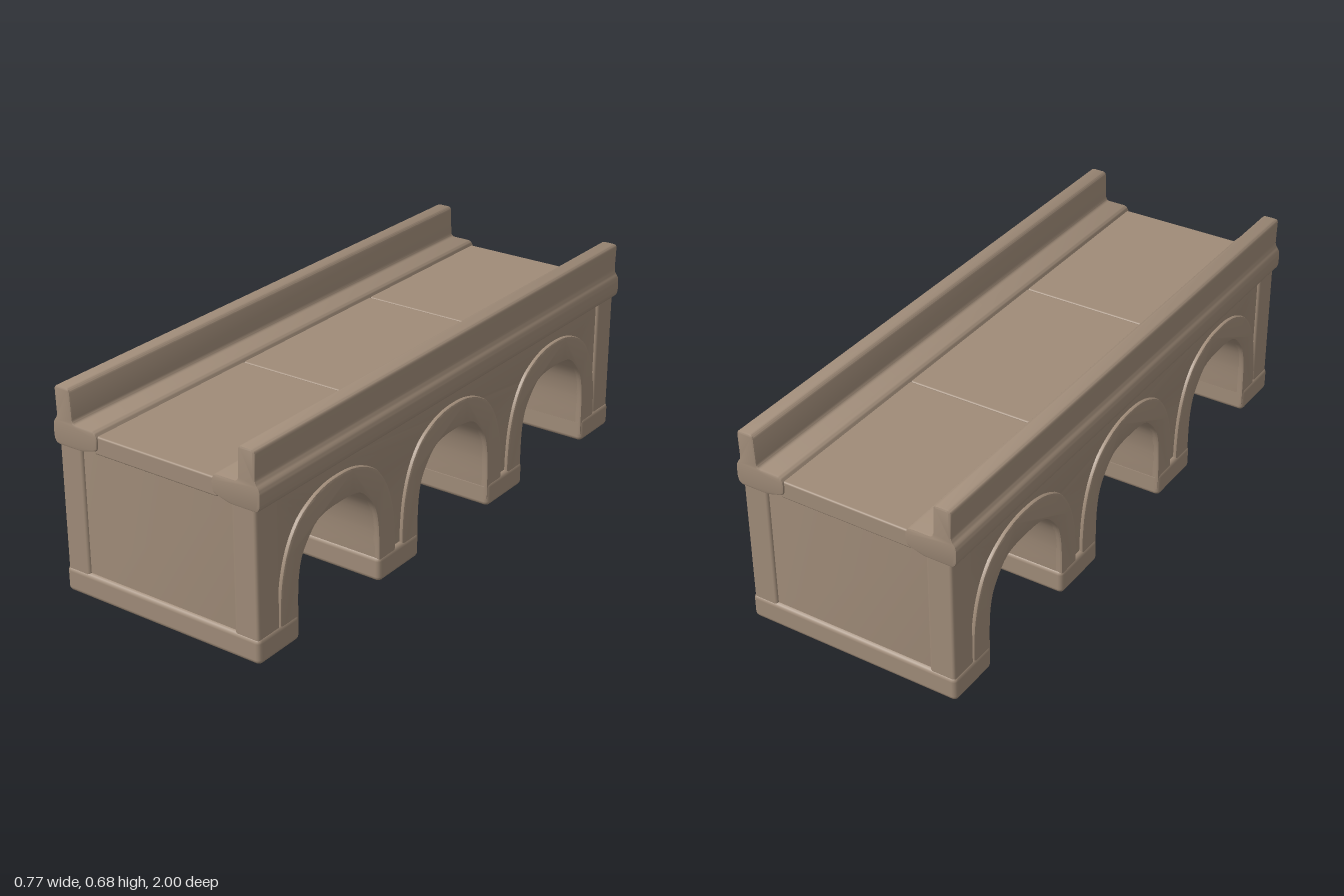
import * as THREE from 'three';
import { toCreasedNormals } from 'three/addons/utils/BufferGeometryUtils.js';
import { RoundedBoxGeometry } from 'three/addons/geometries/RoundedBoxGeometry.js';

const ARCH_Z = [0.61, 0, -0.61];
// half outlines of the arch opening and of its raised surround: [offset, height]
const OPENING = [[0.2, 0.03], [0.2, 0.12], [0.196, 0.2], [0.18, 0.265], [0.145, 0.315], [0.105, 0.35], [0.055, 0.362], [0, 0.364]];
const SURROUND = [[0.287, 0.03], [0.286, 0.13], [0.275, 0.23], [0.245, 0.32], [0.195, 0.39], [0.13, 0.43], [0.065, 0.45], [0, 0.455]];

// full arch line from -offset to +offset
function archLine(half, cx) {
  const left = half.map(([x, y]) => new THREE.Vector2(cx - x, y));
  const right = half.slice(0, -1).reverse().map(([x, y]) => new THREE.Vector2(cx + x, y));
  return new THREE.SplineCurve([...left, ...right]).getPoints(42);
}

// closed outline with softened corners
function softShape(points, r) {
  const v = points.map(([x, y]) => new THREE.Vector2(x, y));
  const shape = new THREE.Shape();
  v.forEach((p, i) => {
    const a = v[(i + v.length - 1) % v.length], b = v[(i + 1) % v.length];
    const cut = (q) => p.clone().lerp(q, Math.min(0.45, r / p.distanceTo(q)));
    const s = cut(a), e = cut(b);
    if (i === 0) shape.moveTo(s.x, s.y); else shape.lineTo(s.x, s.y);
    shape.quadraticCurveTo(p.x, p.y, e.x, e.y);
  });
  shape.closePath();
  return shape;
}

// centred extrusion with a small bevel inside the given depth
function extrude(shape, depth, bevel) {
  const g = new THREE.ExtrudeGeometry(shape, {
    depth: depth - 2 * bevel, curveSegments: 4, bevelEnabled: true,
    bevelThickness: bevel, bevelSize: bevel, bevelOffset: -bevel, bevelSegments: 2,
  });
  g.translate(0, 0, -(depth - 2 * bevel) / 2);
  return toCreasedNormals(g, 0.75);
}

export function createModel() {
  const model = new THREE.Group();
  const stone = new THREE.MeshStandardMaterial({ color: 0x9f8b78 });
  stone.name = 'stone';

  const add = (name, geometry, x = 0, y = 0, z = 0) => {
    const mesh = new THREE.Mesh(geometry, stone);
    mesh.name = name;
    mesh.position.set(x, y, z);
    model.add(mesh);
    return mesh;
  };
  const box = (name, w, h, d, x, y, z, r = 0.01) =>
    add(name, new RoundedBoxGeometry(w, h, d, 2, r), x, y, z);

  // Pierced body: long side outline pushed across the width
  const body = new THREE.Shape();
  body.moveTo(-0.988, 0.03);
  [...ARCH_Z].reverse().forEach((c) => archLine(OPENING, c).forEach((p) => body.lineTo(p.x, p.y)));
  body.lineTo(0.988, 0.03);
  body.lineTo(0.988, 0.55);
  body.lineTo(-0.988, 0.55);
  body.closePath();
  const bodyGeometry = extrude(body, 0.714, 0.006);
  bodyGeometry.rotateY(-Math.PI / 2);
  add('archedBody', bodyGeometry);

  // Raised surrounds on both faces of every arch
  for (const c of ARCH_Z) {
    const ring = new THREE.Shape([...archLine(SURROUND, c), ...archLine(OPENING, c).reverse()]);
    for (const side of [-1, 1]) {
      const g = extrude(ring, 0.03, 0.008);
      g.rotateY(-Math.PI / 2);
      add('archSurround', g, side * 0.354);
    }
  }

  // Pier footings
  for (const [z, d] of [[0.905, 0.19], [0.307, 0.215], [-0.307, 0.215], [-0.905, 0.19]]) {
    box('footing', 0.744, 0.085, d, 0, 0.0475, z, 0.016);
  }

  // Corner pilasters and the end walls between them
  for (const end of [-1, 1]) {
    for (const side of [-1, 1]) {
      box('cornerPilaster', 0.088, 0.48, 0.1, side * 0.323, 0.29, end * 0.946, 0.01);
    }
  }

  // Cornice, kerb and parapet share one cross-section along the bridge
  const edge = softShape([
    [0.215, 0.515], [0.275, 0.497], [0.375, 0.497], [0.386, 0.515], [0.386, 0.568], [0.369, 0.588],
    [0.372, 0.688], [0.312, 0.688], [0.308, 0.577], [0.225, 0.577], [0.213, 0.558],
  ], 0.014);
  const edgeGeometry = extrude(edge, 2, 0.006);
  for (const turn of [0, Math.PI]) add('parapetAndKerb', edgeGeometry).rotation.y = turn;

  // Road slabs with fine joints
  for (const [z0, z1] of [[-0.994, -0.358], [-0.358, 0.322], [0.322, 0.994]]) {
    box('roadSlab', 0.46, 0.06, z1 - z0, 0, 0.531, (z0 + z1) / 2, 0.006);
  }
  return model;
}
